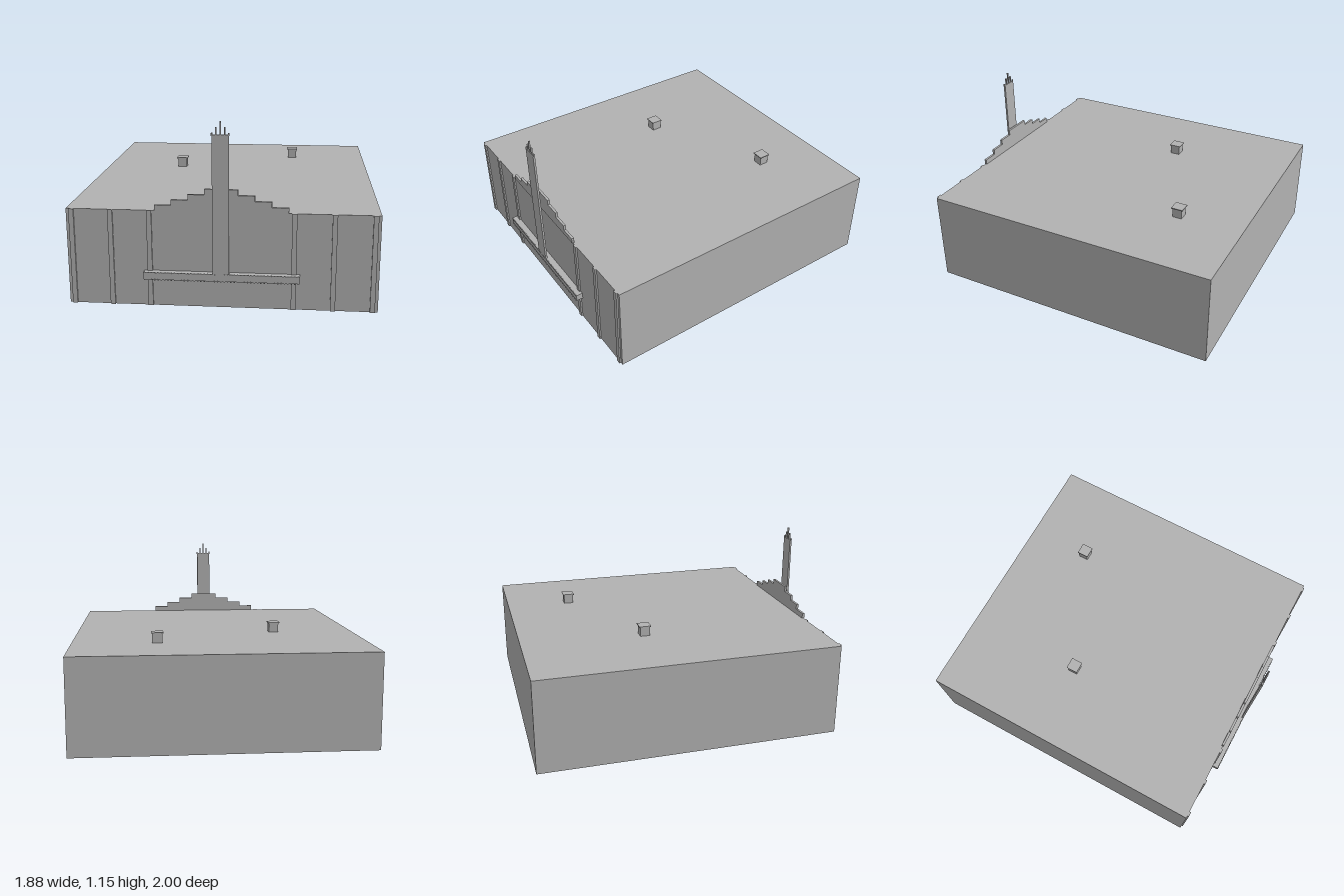
import * as THREE from 'three';
import { mergeGeometries } from 'three/addons/utils/BufferGeometryUtils.js';

const W = 0.94, ROOF = 0.605, FRONT = 0.953, BACK = -1;

// Box given by its lower and upper limits
function span(x0, x1, y0, y1, z0, z1) {
  return new THREE.BoxGeometry(x1 - x0, y1 - y0, z1 - z0)
    .translate((x0 + x1) / 2, (y0 + y1) / 2, (z0 + z1) / 2);
}

export function createModel() {
  const grey = new THREE.MeshStandardMaterial({ color: 0xb2b2b2, side: THREE.DoubleSide });
  grey.name = 'plain grey';
  const model = new THREE.Group();
  model.name = 'theatre';

  const add = (name, geometry, parent = model) => {
    const mesh = new THREE.Mesh(geometry, grey);
    mesh.name = name;
    parent.add(mesh);
    return mesh;
  };
  const group = (name) => {
    const g = new THREE.Group();
    g.name = name;
    model.add(g);
    return g;
  };

  // Hall: four thin walls and a roof, open underneath
  const depth = FRONT - BACK, midZ = (FRONT + BACK) / 2;
  const hall = group('hall');
  add('frontWall', new THREE.PlaneGeometry(2 * W, ROOF).translate(0, ROOF / 2, FRONT), hall);
  add('backWall', new THREE.PlaneGeometry(2 * W, ROOF).rotateY(Math.PI).translate(0, ROOF / 2, BACK), hall);
  for (const s of [-1, 1]) {
    add(s > 0 ? 'leftWall' : 'rightWall',
      new THREE.PlaneGeometry(depth, ROOF).rotateY(s * Math.PI / 2).translate(s * W, ROOF / 2, midZ), hall);
  }
  add('roof', new THREE.PlaneGeometry(2 * W, depth).rotateX(-Math.PI / 2).translate(0, ROOF, midZ), hall);

  // Pilasters on the facade
  const pilasters = group('pilasters');
  for (const s of [-1, 1]) {
    for (const x of [0.434, 0.67, 0.907]) {
      add('pilaster', span(s * x - 0.015, s * x + 0.015, 0, ROOF, FRONT, 0.963), pilasters);
    }
  }

  // Stepped parapet
  const parapet = group('parapet');
  [0.4, 0.3, 0.2, 0.1].forEach((half, i) => {
    const y = ROOF + i * 0.0345;
    add('parapetStep', span(-half, half, y, y + 0.0345, 0.943, 0.959), parapet);
  });

  // Marquee with rows of bulbs along its upper and lower front edges
  const marquee = group('marquee');
  add('canopy', span(-0.47, 0.47, 0.182, 0.226, FRONT, 0.996), marquee);
  const bulbs = [];
  for (let i = 0; i < 47; i++) {
    const x = -0.46 + i * 0.02;
    for (const y of [0.182, 0.226]) {
      bulbs.push(span(x - 0.004, x + 0.004, y - 0.003, y + 0.003, 0.992, 1));
    }
  }
  add('bulbs', mergeGeometries(bulbs), marquee);

  // Sign tower with a crown of thin spires
  const tower = group('signTower');
  add('towerBlade', span(-0.05, 0.05, 0.226, 1.077, 0.985, 0.998), tower);
  [1.087, 1.12, 1.155, 1.12, 1.087].forEach((top, i) => {
    const x = (i - 2) * 0.025;
    add('spire', span(x - 0.004, x + 0.004, 1.07, top, 0.987, 0.997), tower);
  });

  // Roof vents with flat caps
  for (const [x, z] of [[0.4, -0.565], [-0.4, -0.195]]) {
    const vent = group('roofVent');
    add('ventBody', span(x - 0.032, x + 0.032, ROOF, 0.67, z - 0.032, z + 0.032), vent);
    add('ventCap', span(x - 0.039, x + 0.039, 0.667, 0.673, z - 0.039, z + 0.039), vent);
  }

  return model;
}
